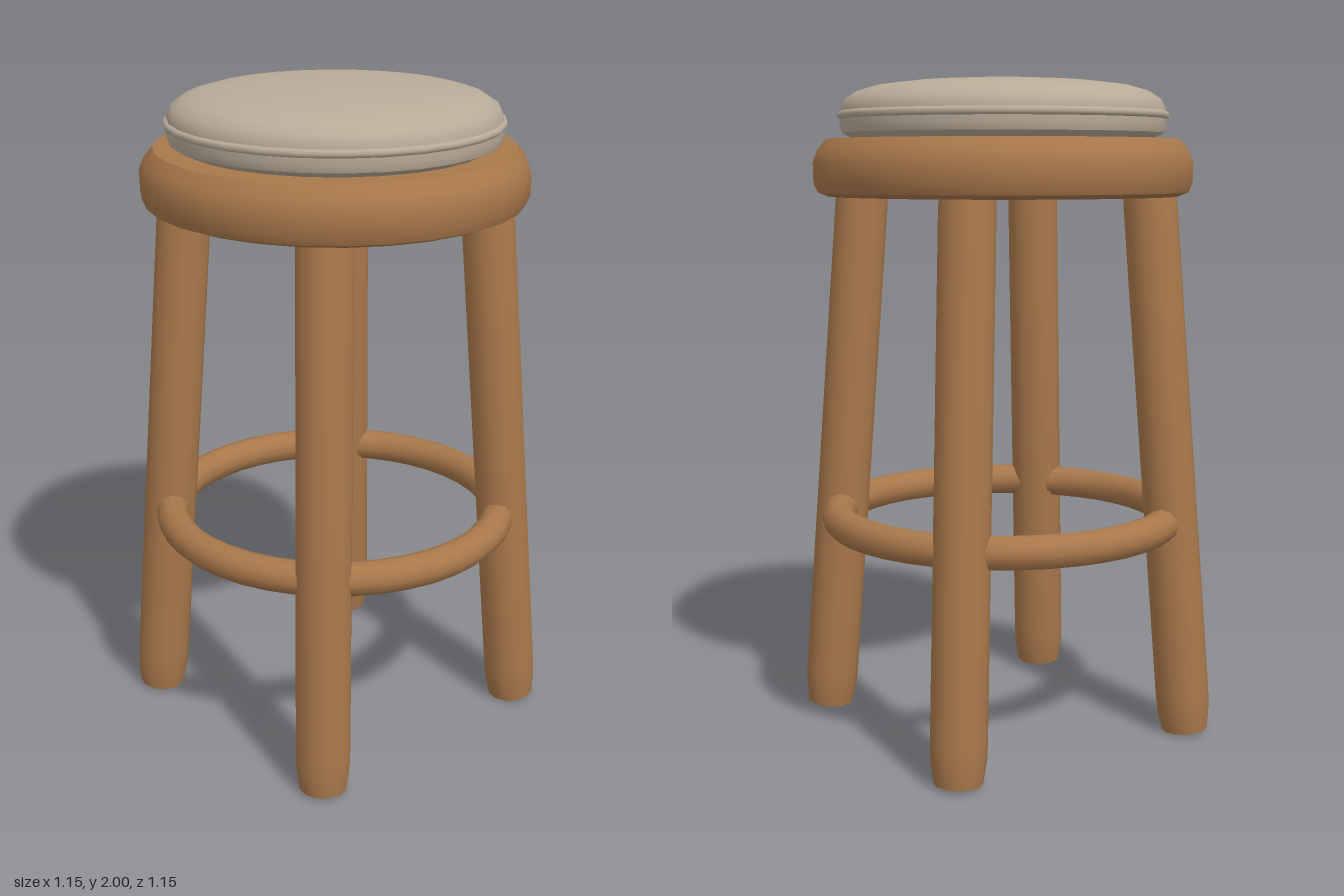
import * as THREE from 'three';
import { toCreasedNormals } from 'three/addons/utils/BufferGeometryUtils.js';

const wood = new THREE.MeshStandardMaterial({ color: 0xa9784b });
wood.name = 'warm wood';
const fabric = new THREE.MeshStandardMaterial({ color: 0xb9ab98 });
fabric.name = 'beige fabric';

// Turned part from [radius, height] pairs listed bottom to top
function turned(name, profile, sides, material, crease = 0.7) {
  const points = profile.map(([r, y]) => new THREE.Vector2(r, y));
  const geometry = toCreasedNormals(new THREE.LatheGeometry(points, sides), crease);
  const mesh = new THREE.Mesh(geometry, material);
  mesh.name = name;
  return mesh;
}

export function createModel() {
  const stool = new THREE.Group();
  stool.name = 'stool';

  // Thick wooden seat with bevelled rims
  stool.add(turned('seat', [
    [0, 1.65], [0.53, 1.65], [0.56, 1.662], [0.572, 1.69], [0.573, 1.75],
    [0.56, 1.785], [0.532, 1.82], [0, 1.82],
  ], 28, wood));

  // Domed cushion
  stool.add(turned('cushion', [
    [0, 1.815], [0.45, 1.82], [0.485, 1.838], [0.492, 1.86], [0.488, 1.89],
    [0.488, 1.91], [0.475, 1.937], [0.44, 1.96], [0.385, 1.976],
    [0.28, 1.989], [0.15, 1.997], [0, 2],
  ], 28, fabric));

  // Piping around the cushion seam
  const piping = new THREE.Mesh(new THREE.TorusGeometry(0.488, 0.012, 8, 28), fabric);
  piping.name = 'piping';
  piping.rotation.x = Math.PI / 2;
  piping.position.y = 1.89;
  stool.add(piping);

  // Four splayed legs on the diagonals
  const up = new THREE.Vector3(0, 1, 0);
  for (const sx of [-1, 1]) {
    for (const sz of [-1, 1]) {
      const foot = new THREE.Vector3(sx * 0.411, 0.006, sz * 0.411);
      const top = new THREE.Vector3(sx * 0.315, 1.69, sz * 0.315);
      const axis = top.clone().sub(foot);
      const length = axis.length();
      const leg = turned('leg', [
        [0, 0], [0.071, 0], [0.081, 0.065], [0.0825, 0.12],
        [0.081, length - 0.06], [0.074, length], [0, length],
      ], 12, wood);
      leg.position.copy(foot);
      leg.quaternion.setFromUnitVectors(up, axis.normalize());
      stool.add(leg);
    }
  }

  // Round foot rail through the legs
  const rail = new THREE.Mesh(new THREE.TorusGeometry(0.515, 0.05, 12, 40), wood);
  rail.name = 'footRail';
  rail.rotation.x = Math.PI / 2;
  rail.position.y = 0.665;
  stool.add(rail);

  return stool;
}
